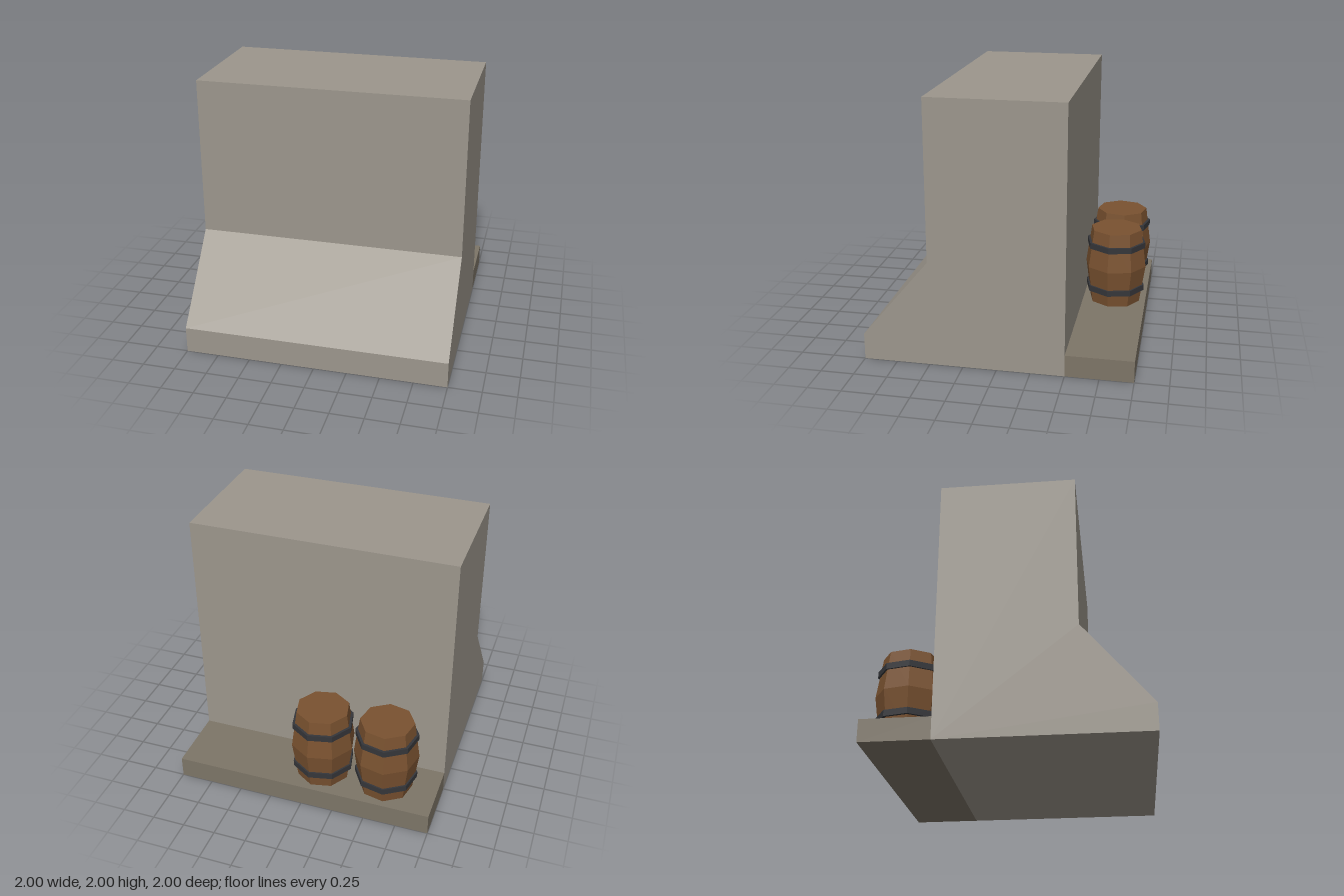
import * as THREE from 'three';

const material = (color) => new THREE.MeshStandardMaterial({ color, flatShading: true });
const stone = material(0x9c968c);
const ledgeStone = material(0x7d7567);
const wood = material(0x7a5230);
const iron = material(0x35363a);

const SIDES = 8;
const LEDGE_TOP = 0.165;

function addMesh(parent, name, geometry, mat) {
  const mesh = new THREE.Mesh(geometry, mat);
  mesh.name = name;
  parent.add(mesh);
  return mesh;
}

// Eight-sided barrel with a bulging body and two iron hoops, standing on y = 0
function createBarrel(name, x, z, turn) {
  const barrel = new THREE.Group();
  barrel.name = name;

  const profile = [[0, 0], [0.203, 0], [0.246, 0.302], [0.203, 0.605], [0, 0.605]]
    .map(([r, y]) => new THREE.Vector2(r, y));
  addMesh(barrel, 'barrelBody', new THREE.LatheGeometry(profile, SIDES), wood);

  for (const [hoopName, y] of [['lowerHoop', 0.122], ['upperHoop', 0.482]]) {
    const hoop = addMesh(barrel, hoopName, new THREE.CylinderGeometry(0.237, 0.237, 0.046, SIDES), iron);
    hoop.position.y = y;
  }

  barrel.position.set(x, LEDGE_TOP, z);
  barrel.rotation.y = turn;
  return barrel;
}

export function createModel() {
  const model = new THREE.Group();
  model.name = 'parapetWall';

  // Wall with a sloped foot: side outline drawn as (z, y), extruded along x
  const outline = new THREE.Shape(
    [[-0.5, 0], [1, 0], [1, 0.2], [0.5, 0.8], [0.5, 2], [-0.5, 2]]
      .map(([z, y]) => new THREE.Vector2(z, y))
  );
  const wall = new THREE.ExtrudeGeometry(outline, { depth: 2, bevelEnabled: false });
  wall.translate(0, 0, -1);
  wall.rotateY(-Math.PI / 2);
  addMesh(model, 'wall', wall, stone);

  // Ledge behind the wall
  const ledge = addMesh(model, 'rearLedge', new THREE.BoxGeometry(2, LEDGE_TOP, 0.5), ledgeStone);
  ledge.position.set(0, LEDGE_TOP / 2, -0.75);

  // Two barrels on the ledge
  const turn = THREE.MathUtils.degToRad(10);
  model.add(createBarrel('outerBarrel', -0.6, -0.75, turn));
  model.add(createBarrel('innerBarrel', -0.1, -0.75, -turn));

  return model;
}
